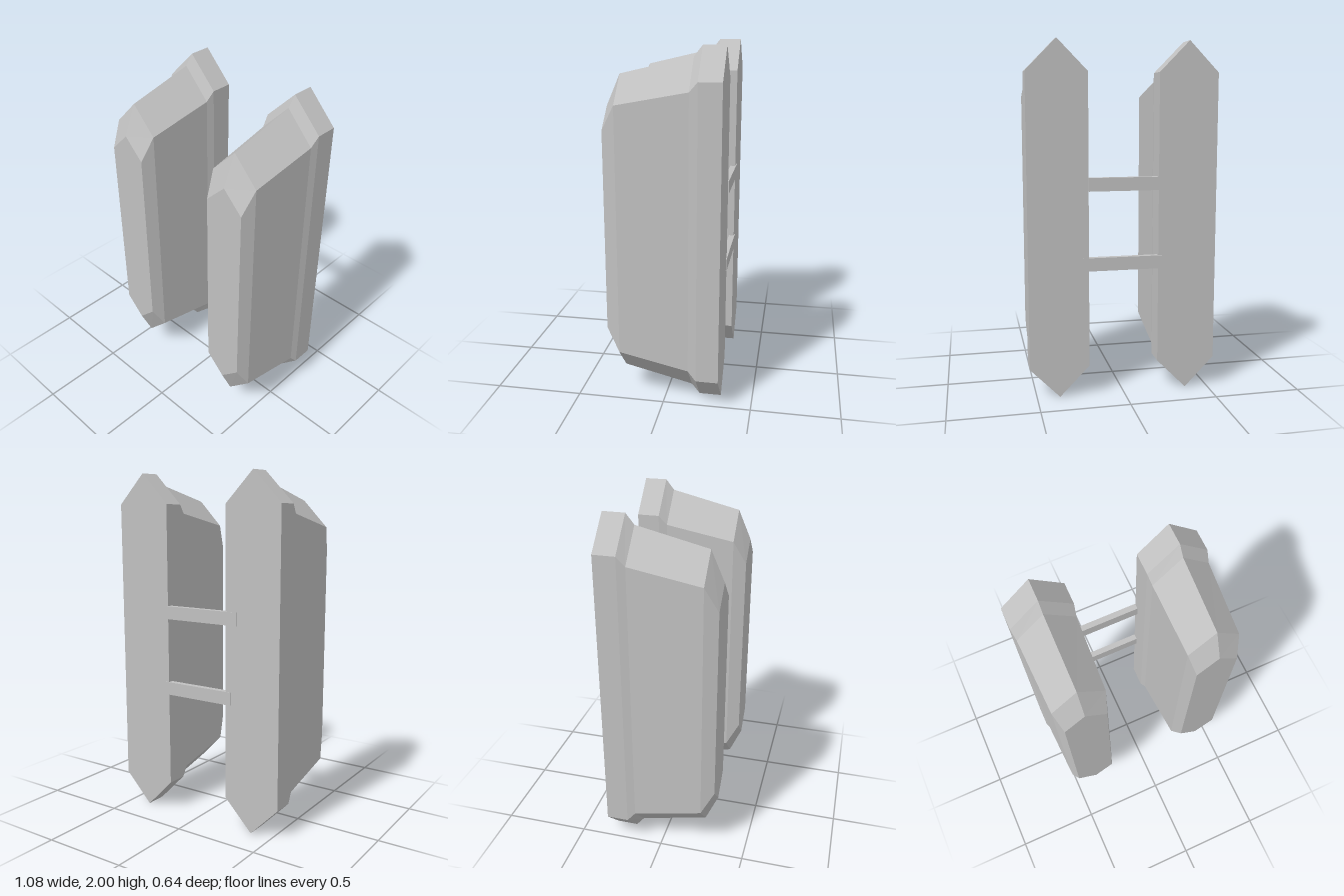
import * as THREE from 'three';

const grey = new THREE.MeshStandardMaterial({ color: 0xc0c0c0 });
grey.name = 'light grey';

// Hexagonal sections from back to front: z, half width, half height at apex, half height at shoulder
const SECTIONS = [
  [-0.318, 0.17, 0.998, 0.825],
  [-0.193, 0.17, 0.998, 0.825],
  [-0.147, 0.16, 0.94, 0.773],
  [0.248, 0.145, 0.847, 0.697],
  [0.322, 0.117, 0.678, 0.562],
];

// Faceted shell through the sections, closed at both ends
function shellGeometry() {
  const rings = SECTIONS.map(([z, w, apex, shoulder]) => [
    [w, -shoulder, z], [w, shoulder, z], [0, apex, z],
    [-w, shoulder, z], [-w, -shoulder, z], [0, -apex, z],
  ]);
  const pos = [];
  const tri = (a, b, c) => pos.push(...a, ...b, ...c);
  for (let s = 0; s < rings.length - 1; s++) {
    for (let i = 0; i < 6; i++) {
      const j = (i + 1) % 6, a = rings[s], b = rings[s + 1];
      tri(a[i], a[j], b[j]);
      tri(a[i], b[j], b[i]);
    }
  }
  const back = rings[0], front = rings[rings.length - 1];
  for (let i = 1; i < 5; i++) {
    tri(front[0], front[i], front[i + 1]);
    tri(back[0], back[i + 1], back[i]);
  }
  const geo = new THREE.BufferGeometry();
  geo.setAttribute('position', new THREE.Float32BufferAttribute(pos, 3));
  geo.computeVertexNormals();
  return geo;
}

export function createModel() {
  const model = new THREE.Group();
  model.name = 'twinPods';

  // Two upright pods
  const shell = shellGeometry();
  for (const side of [1, -1]) {
    const pod = new THREE.Mesh(shell, grey);
    pod.name = side > 0 ? 'leftPod' : 'rightPod';
    pod.position.set(side * 0.37, 1, 0);
    model.add(pod);
  }

  // Cross bars joining the pods at the back, slightly staggered
  const barGeo = new THREE.BoxGeometry(0.47, 0.075, 0.035);
  for (const [name, x, y] of [['upperBar', -0.035, 1.212], ['lowerBar', 0, 0.763]]) {
    const bar = new THREE.Mesh(barGeo, grey);
    bar.name = name;
    bar.position.set(x, y, -0.305);
    model.add(bar);
  }
  return model;
}
